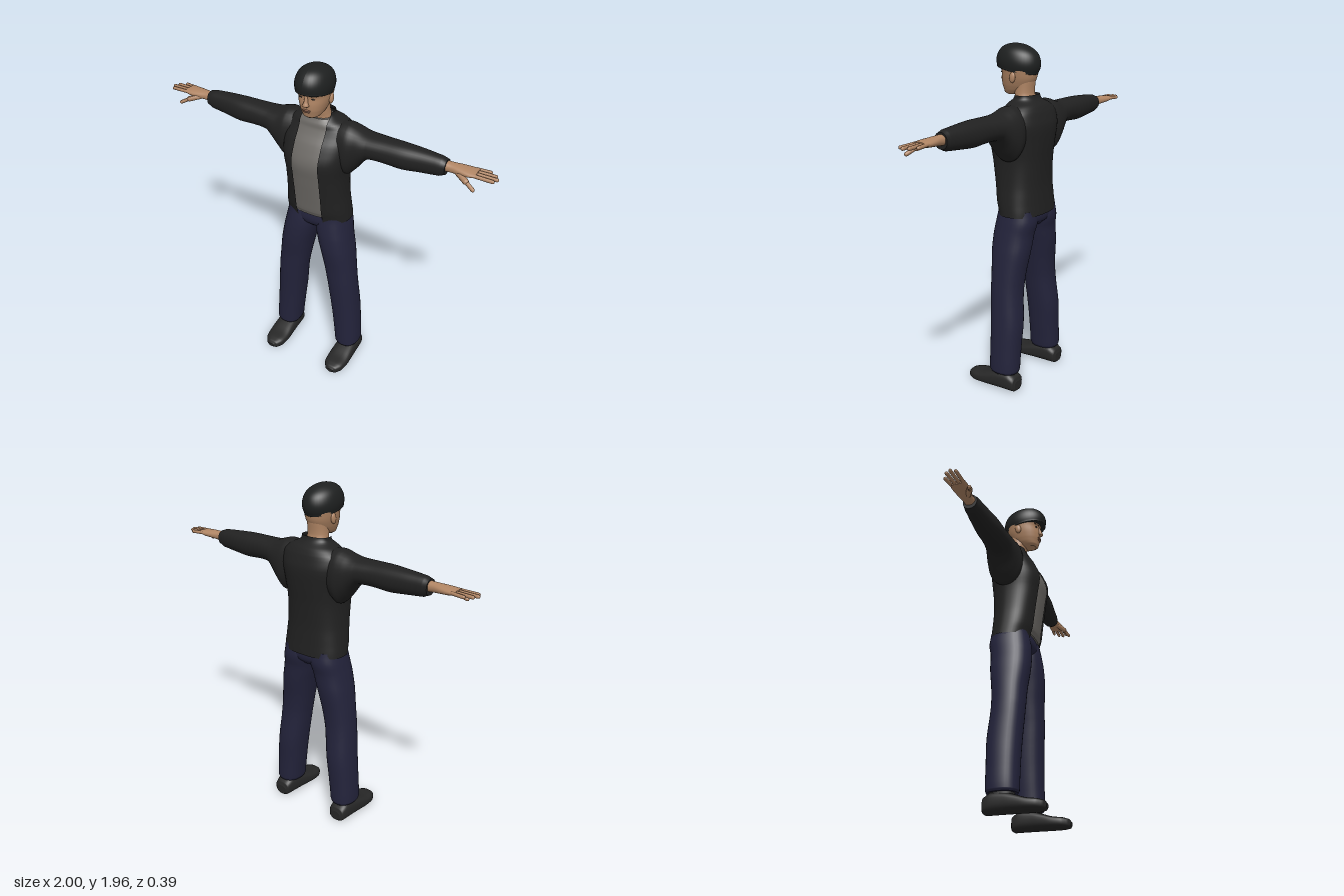
import * as THREE from 'three';

const mat = (name, color, double = false) => {
  const m = new THREE.MeshStandardMaterial({ color });
  m.name = name;
  if (double) m.side = THREE.DoubleSide;
  return m;
};

// Smooth interpolation of section rows
function refine(rows, steps) {
  const out = [];
  const cr = (a, b, c, d, t) => 0.5 * (2 * b + (c - a) * t + (2 * a - 5 * b + 4 * c - d) * t * t + (3 * b - a - 3 * c + d) * t ** 3);
  for (let i = 0; i < rows.length - 1; i++) {
    const a = rows[Math.max(0, i - 1)], b = rows[i], c = rows[i + 1], d = rows[Math.min(rows.length - 1, i + 2)];
    for (let s = 0; s < steps; s++) {
      out.push(b.map((v, k) => k === 0 ? v + (c[0] - v) * s / steps : cr(a[k], v, c[k], d[k], s / steps)));
    }
  }
  out.push(rows[rows.length - 1]);
  return out;
}

// Skin over rounded sections; each row is [t, uMin, uMax, vMin, vMax].
// axis y: u = x, v = z.  axis x: u = z, v = y.  axis z: u = y, v = x.
// gap leaves an opening of that half width, centred on the +v side.
function loft(rows, { axis = 'y', p = 2.2, n = 32, steps = 4, gap = 0 } = {}) {
  const place = { y: (t, u, v) => [u, t, v], x: (t, u, v) => [t, v, u], z: (t, u, v) => [v, u, t] }[axis];
  const pos = [], idx = [], rings = refine(rows, steps);
  const cols = gap ? n + 1 : n;
  const bend = (s) => Math.sign(s) * Math.abs(s) ** (2 / p);
  for (const [t, u0, u1, v0, v1] of rings) {
    const hu = (u1 - u0) / 2, hv = (v1 - v0) / 2;
    const start = gap ? Math.asin(Math.min(0.9, (gap / hu) ** (p / 2))) : 0;
    for (let j = 0; j < cols; j++) {
      const a = start + (2 * Math.PI - 2 * start) * j / n;
      pos.push(...place(t, (u0 + u1) / 2 + hu * bend(Math.sin(a)), (v0 + v1) / 2 + hv * bend(Math.cos(a))));
    }
  }
  for (let i = 0; i < rings.length - 1; i++) {
    for (let j = 0; j < n; j++) {
      const k = (j + 1) % cols, a = i * cols + j, b = i * cols + k;
      idx.push(a, b, b + cols, a, b + cols, a + cols);
    }
  }
  if (!gap) {
    for (const end of [0, rings.length - 1]) {
      const base = pos.length / 3, [t, u0, u1, v0, v1] = rings[end];
      pos.push(...pos.slice(end * cols * 3, (end + 1) * cols * 3), ...place(t, (u0 + u1) / 2, (v0 + v1) / 2));
      for (let j = 0; j < n; j++) {
        const a = base + j, b = base + (j + 1) % n;
        idx.push(base + n, end ? a : b, end ? b : a);
      }
    }
  }
  const g = new THREE.BufferGeometry();
  g.setAttribute('position', new THREE.Float32BufferAttribute(pos, 3));
  g.setIndex(idx);
  g.computeVertexNormals();
  return g;
}

// Symmetric rows [y, halfWidth, back, front]
const sym = (rows) => rows.map(([y, w, b, f]) => [y, -w, w, b, f]);

function mirrored(g) {
  const m = g.clone().scale(-1, 1, 1), ix = m.index.array;
  for (let i = 0; i < ix.length; i += 3) [ix[i], ix[i + 1]] = [ix[i + 1], ix[i]];
  m.computeVertexNormals();
  return m;
}

const ball = (x, y, z, rx, ry, rz) => new THREE.SphereGeometry(1, 20, 14).scale(rx, ry, rz).translate(x, y, z);

// Rounded rod between two points
function rod(a, b, r) {
  const p = new THREE.Vector3(...a), q = new THREE.Vector3(...b), d = q.clone().sub(p);
  const g = new THREE.CapsuleGeometry(r, d.length(), 5, 10);
  g.applyQuaternion(new THREE.Quaternion().setFromUnitVectors(new THREE.Vector3(0, 1, 0), d.normalize()));
  return g.translate(...p.add(q).multiplyScalar(0.5).toArray());
}

export function createModel() {
  const model = new THREE.Group();
  const skin = mat('skin', 0xb08564), black = mat('jacket black', 0x212121, true), grey = mat('shirt grey', 0x6c6965);
  const denim = mat('trouser navy', 0x23233b), leather = mat('shoe black', 0x272727), wool = mat('cap black', 0x1e2020);
  const brown = mat('brow brown', 0x4a372b), lip = mat('lip', 0x94664f), dark = mat('eye dark', 0x2a211c);
  const add = (name, g, m) => {
    const mesh = new THREE.Mesh(g, m);
    mesh.name = name;
    model.add(mesh);
  };
  const pair = (name, g, m) => {
    add('left' + name, g, m);
    add('right' + name, mirrored(g), m);
  };

  // Jacket body, open down the front, and the shirt inside it
  const torso = [
    [1.03, 0.195, -0.185, 0.06], [1.1, 0.19, -0.18, 0.08], [1.2, 0.18, -0.175, 0.095],
    [1.33, 0.178, -0.18, 0.115], [1.43, 0.19, -0.19, 0.125], [1.53, 0.2, -0.195, 0.085],
    [1.6, 0.19, -0.175, 0.04], [1.635, 0.15, -0.155, 0.03], [1.662, 0.095, -0.125, 0.015], [1.688, 0.085, -0.112, 0.0],
  ];
  add('jacket', loft(sym(torso), { p: 2.4, n: 48, gap: 0.08 }), black);
  const shirt = torso.slice(1, 9).map(([y, w, b, f]) => [y - 0.008, w - 0.014, b + 0.014, f - 0.006]);
  shirt.unshift([1.06, 0.17, -0.16, 0.06]);
  add('shirt', loft(sym(shirt), { p: 2.4, n: 40 }), grey);

  // Sleeves, draping under the arm
  pair('Sleeve', loft([
    [0.08, -0.14, 0.02, 1.44, 1.635], [0.18, -0.16, 0.045, 1.345, 1.645], [0.23, -0.155, 0.04, 1.385, 1.632],
    [0.27, -0.145, 0.035, 1.44, 1.62], [0.31, -0.135, 0.027, 1.478, 1.615], [0.4, -0.125, 0.02, 1.482, 1.615],
    [0.5, -0.12, 0.015, 1.476, 1.615], [0.6, -0.112, 0, 1.485, 1.61], [0.7, -0.102, -0.012, 1.495, 1.602],
    [0.73, -0.098, -0.018, 1.508, 1.592],
  ], { axis: 'x' }), black);

  // Hands
  pair('Palm', loft([
    [0.68, -0.09, -0.025, 1.525, 1.585], [0.75, -0.09, -0.03, 1.53, 1.582], [0.8, -0.1, -0.022, 1.535, 1.58],
    [0.85, -0.107, -0.016, 1.54, 1.577], [0.89, -0.107, -0.018, 1.55, 1.573],
  ], { axis: 'x' }), skin);
  const fingers = [[-0.098, 0.94, -0.106], [-0.076, 0.976, -0.082], [-0.053, 0.99, -0.056], [-0.03, 0.977, -0.03]];
  fingers.forEach(([z, tip, zt], i) => pair('Finger' + (i + 1), rod([0.87, 1.561, z], [tip, 1.559, zt], 0.0098), skin));
  pair('ThumbBase', rod([0.79, 1.55, -0.042], [0.85, 1.532, -0.008], 0.016), skin);
  pair('Thumb', rod([0.85, 1.532, -0.008], [0.897, 1.508, 0.011], 0.0105), skin);

  // Trousers
  add('hips', loft(sym([
    [0.96, 0.09, -0.14, 0.02], [0.985, 0.15, -0.165, 0.045], [1.02, 0.187, -0.172, 0.055],
    [1.07, 0.18, -0.165, 0.048], [1.12, 0.165, -0.155, 0.035],
  ]), { p: 2.4 }), denim);
  pair('TrouserLeg', loft([
    [0.105, 0.142, 0.28, -0.135, 0.03], [0.12, 0.136, 0.287, -0.14, 0.037], [0.25, 0.122, 0.281, -0.142, 0.038],
    [0.4, 0.104, 0.27, -0.146, 0.043], [0.58, 0.082, 0.255, -0.132, 0.053], [0.7, 0.06, 0.242, -0.138, 0.058],
    [0.82, 0.035, 0.226, -0.155, 0.07], [0.92, 0.01, 0.208, -0.162, 0.07], [0.99, -0.003, 0.195, -0.176, 0.062],
    [1.06, 0.005, 0.182, -0.168, 0.05],
  ], { p: 2.3 }), denim);

  // Shoes, with a separate ankle part
  pair('Shoe', loft([
    [-0.148, 0.005, 0.06, 0.185, 0.25], [-0.14, 0, 0.085, 0.168, 0.268], [-0.1, 0, 0.108, 0.16, 0.276],
    [-0.03, 0, 0.105, 0.156, 0.28], [0.03, 0, 0.088, 0.152, 0.283], [0.09, 0, 0.068, 0.15, 0.284],
    [0.145, 0, 0.06, 0.157, 0.276], [0.178, 0.003, 0.05, 0.178, 0.255], [0.19, 0.012, 0.035, 0.2, 0.235],
  ], { axis: 'z', p: 2.9 }), leather);
  pair('Ankle', loft([[0.06, 0.165, 0.272, -0.13, 0.02], [0.13, 0.17, 0.265, -0.12, 0.015]]), leather);

  // Neck and head
  add('neck', loft(sym([
    [1.6, 0.075, -0.11, 0.0], [1.66, 0.065, -0.1, 0.0], [1.7, 0.06, -0.092, 0.01], [1.78, 0.06, -0.1, 0.01],
  ])), skin);
  add('head', loft(sym([
    [1.683, 0.028, 0.015, 0.068], [1.693, 0.046, -0.025, 0.08], [1.71, 0.058, -0.06, 0.085], [1.735, 0.069, -0.085, 0.092],
    [1.77, 0.08, -0.103, 0.094], [1.805, 0.087, -0.11, 0.091], [1.83, 0.09, -0.115, 0.098], [1.87, 0.088, -0.11, 0.095],
    [1.92, 0.05, -0.07, 0.06],
  ]), { p: 2.25 }), skin);
  add('nose', loft(sym([
    [1.756, 0.01, 0.08, 0.1], [1.764, 0.018, 0.08, 0.113], [1.785, 0.011, 0.08, 0.106], [1.82, 0.008, 0.08, 0.096],
  ]), { n: 16 }), skin);
  pair('Ear', ball(0.085, 0, 0, 0.012, 0.03, 0.018).rotateX(-0.15).translate(0, 1.782, -0.018), skin);
  pair('Eye', ball(0.034, 1.803, 0.083, 0.013, 0.0045, 0.005), dark);
  pair('Brow', rod([0.02, 1.822, 0.093], [0.052, 1.822, 0.079], 0.004), brown);
  add('upperLip', ball(0, 1.736, 0.091, 0.024, 0.005, 0.008), lip);
  add('lowerLip', ball(0, 1.727, 0.089, 0.02, 0.005, 0.008), lip);

  // Rounded cap, tipped down at the back
  const profile = [[0, -0.012], [0.84, -0.02], [0.95, -0.008], [1, 0.02], [0.97, 0.05], [0.86, 0.079], [0.68, 0.1], [0.42, 0.115], [0.2, 0.121], [0, 0.122]];
  const curve = new THREE.SplineCurve(profile.map(([r, y]) => new THREE.Vector2(r, y)));
  const points = curve.getPoints(36).map((v) => new THREE.Vector2(Math.max(0, v.x), v.y));
  const cap = new THREE.LatheGeometry(points, 40).scale(0.098, 1, 0.132);
  cap.computeVertexNormals();
  add('cap', cap.rotateX(-0.17).translate(0, 1.834, 0.004), wool);

  return model;
}
